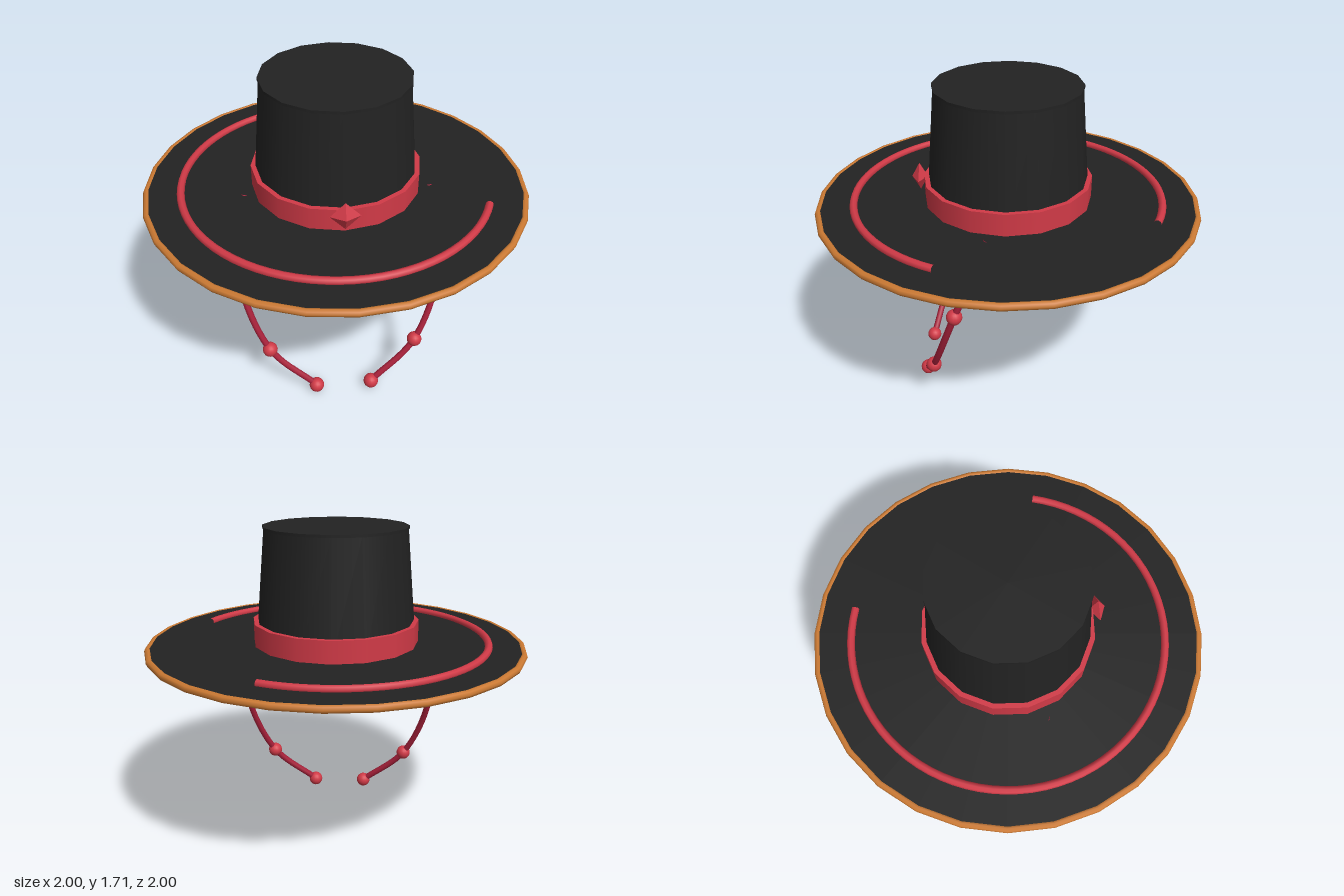
import * as THREE from 'three';

export function createModel() {
  const hat = new THREE.Group();
  hat.name = 'hat';

  const material = (name, color, flatShading = false) => {
    const m = new THREE.MeshStandardMaterial({ color, flatShading });
    m.name = name;
    return m;
  };
  const black = material('black felt', 0x222222);
  const red = material('red', 0xd13a47);
  const darkRed = material('dark red cord', 0xa8203a);
  const orange = material('orange trim', 0xcc7a33);

  const add = (name, geometry, mat, x = 0, y = 0, z = 0, parent = hat) => {
    const mesh = new THREE.Mesh(geometry, mat);
    mesh.name = name;
    mesh.position.set(x, y, z);
    parent.add(mesh);
    return mesh;
  };

  // Brim and its rolled edge
  add('brim', new THREE.CylinderGeometry(0.98, 0.98, 0.03, 28), black, 0, 1.097, 0);
  add('brimTrim', new THREE.TorusGeometry(0.98, 0.019, 8, 28).rotateX(-Math.PI / 2), orange, 0, 1.097, 0);

  // Tapered crown with a slight lip at the top
  add('crown', new THREE.CylinderGeometry(0.37, 0.424, 0.595, 16), black, 0, 1.4075, 0);
  add('crownLip', new THREE.CylinderGeometry(0.376, 0.376, 0.014, 16), black, 0, 1.708, 0);

  // Band around the crown
  add('band', new THREE.CylinderGeometry(0.438, 0.438, 0.12, 16), red, 0, 1.169, 0);

  // Three-quarter ring laid on the brim
  const ring = new THREE.TorusGeometry(0.803, 0.02, 8, 60, Math.PI * 1.5);
  ring.rotateZ(THREE.MathUtils.degToRad(67.5)).rotateX(-Math.PI / 2);
  add('brimRing', ring, red, 0, 1.12, 0);

  // Faceted gem on the front of the band
  const gem = new THREE.OctahedronGeometry(0.075).scale(1, 1, 0.55);
  add('gem', gem, red, 0, 1.213, 0.46);

  // Beaded chin cords, mirrored left and right
  const bead = new THREE.SphereGeometry(0.041, 16, 12);
  for (const [side, s] of [['left', 1], ['right', -1]]) {
    const cord = new THREE.Group();
    cord.name = side + 'ChinCord';
    hat.add(cord);
    const points = [
      [0.477, 1.11, 0.085], [0.535, 0.7, 0.25], [0.4, 0.278, 0.388], [0.153, 0.045, 0.463],
    ].map(([x, y, z]) => new THREE.Vector3(s * x, y, z));
    const curve = new THREE.CatmullRomCurve3(points);
    add(side + 'Cord', new THREE.TubeGeometry(curve, 32, 0.018, 8), darkRed, 0, 0, 0, cord);
    points.slice(1).forEach((p) => add(side + 'Bead', bead, red, p.x, p.y, p.z, cord));
  }

  return hat;
}
